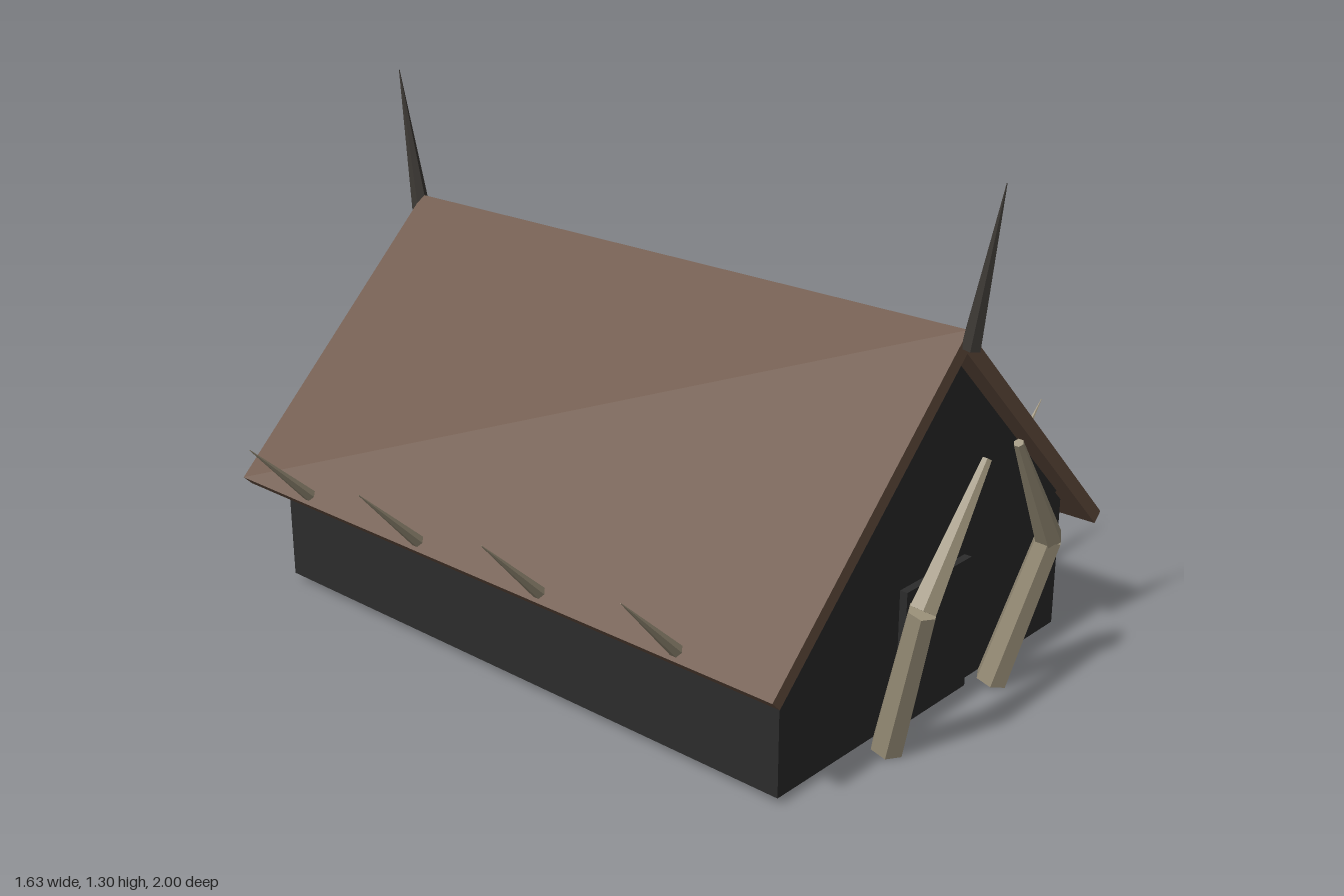
import * as THREE from 'three';

const mat = (name, color) => {
  const m = new THREE.MeshStandardMaterial({ color });
  m.name = name;
  m.flatShading = true;
  return m;
};

export function createModel() {
  const house = new THREE.Group();
  house.name = 'hornedLonghouse';

  const wallMat = mat('charcoalWall', 0x2c2c2c);
  const roofMat = mat('brownRoof', 0x6b5344);
  const boneMat = mat('bone', 0x9a9079);
  const spikeMat = mat('darkSpike', 0x3c3834);
  const midZ = -0.02; // centre of the building along its length

  const add = (name, geometry, material, parent = house) => {
    const mesh = new THREE.Mesh(geometry, material);
    mesh.name = name;
    parent.add(mesh);
    return mesh;
  };

  // Outline in x/y, extruded along z about the building's centre
  const prism = (points, depth) => {
    const shape = new THREE.Shape(points.map(([x, y]) => new THREE.Vector2(x, y)));
    return new THREE.ExtrudeGeometry(shape, { depth, bevelEnabled: false })
      .translate(0, 0, midZ - depth / 2);
  };

  // Tapered faceted horn between two points
  const horn = (name, from, to, r0, r1, sides, material, parent) => {
    const a = new THREE.Vector3(...from), b = new THREE.Vector3(...to);
    const dir = b.clone().sub(a);
    const mesh = add(name, new THREE.CylinderGeometry(r1, r0, dir.length(), sides), material, parent);
    mesh.position.copy(a).add(b).multiplyScalar(0.5);
    mesh.quaternion.setFromUnitVectors(new THREE.Vector3(0, 1, 0), dir.normalize());
    return mesh;
  };

  // Walls, gables and door
  add('walls', new THREE.BoxGeometry(1.12, 0.38, 1.68), wallMat).position.set(0, 0.21, midZ);
  add('gable', prism([[-0.54, 0.4], [0.54, 0.4], [0, 0.92]], 1.7), wallMat);
  add('door', new THREE.BoxGeometry(0.26, 0.34, 0.04), wallMat).position.set(0, 0.19, 0.82);

  // Pitched roof slab
  add('roof', prism([
    [0, 0.96], [-0.66, 0.315], [-0.635, 0.29],
    [0, 0.905], [0.635, 0.29], [0.66, 0.315],
  ], 1.8), roofMat);

  // Ridge spikes leaning outward at each end
  for (const s of [1, -1]) {
    horn('ridgeSpike', [0, 0.92, midZ + s * 0.908], [0, 1.3, midZ + s * 0.974],
      0.025, 0.001, 6, spikeMat);
  }

  for (const s of [1, -1]) {
    // Eave spikes
    for (let i = 0; i < 4; i++) {
      const z = 0.6 - i * 0.42;
      horn('eaveSpike', [s * 0.64, 0.33, z], [s * 0.813, 0.507, z], 0.017, 0.001, 6, boneMat);
    }

    // Bent tusk beside the door
    const tusk = new THREE.Group();
    tusk.name = s > 0 ? 'leftTusk' : 'rightTusk';
    house.add(tusk);
    const knee = [s * 0.256, 0.405, 0.967];
    horn('lowerTusk', [s * 0.215, 0.011, 0.862], knee, 0.041, 0.034, 6, boneMat, tusk);
    horn('upperTusk', knee, [s * 0.063, 0.705, 0.985], 0.034, 0.012, 6, boneMat, tusk);
  }
  return house;
}
